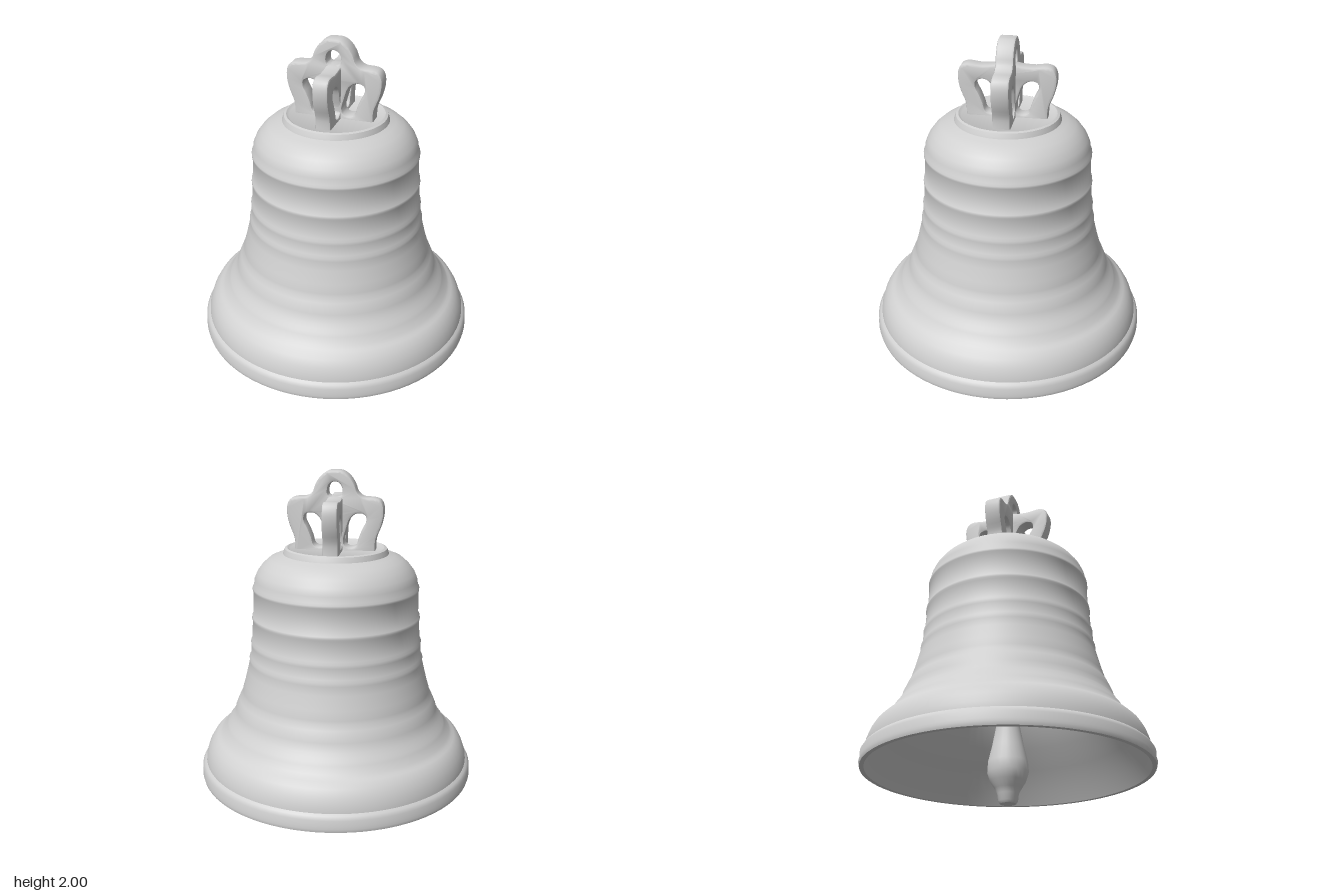
import * as THREE from 'three';
import { toCreasedNormals } from 'three/addons/utils/BufferGeometryUtils.js';

const vecs = (pts) => pts.map(([x, y]) => new THREE.Vector2(x, y));
const mirror = (pts) => pts.map(([x, y]) => [-x, y]).reverse();

export function createModel() {
  const group = new THREE.Group();
  const metal = new THREE.MeshStandardMaterial({ color: 0xd0d0d0 });
  metal.name = 'pale grey metal';

  const add = (name, geometry, crease) => {
    const mesh = new THREE.Mesh(toCreasedNormals(geometry, crease), metal);
    mesh.name = name;
    group.add(mesh);
    return mesh;
  };

  // Bell wall: inside from the crown down, around the lip, then up the outside
  const inner = [
    [0, 1.47], [0.2, 1.46], [0.34, 1.42], [0.41, 1.34], [0.43, 1.15], [0.44, 1],
    [0.47, 0.82], [0.52, 0.66], [0.6, 0.5], [0.68, 0.38], [0.75, 0.26], [0.79, 0.18],
  ];
  const outer = [
    [0.815, 0.18], [0.82, 0.2], [0.815, 0.215], [0.817, 0.25], [0.805, 0.27], [0.793, 0.28],
    [0.79, 0.31], [0.773, 0.36], [0.75, 0.4], [0.72, 0.43], [0.705, 0.437], [0.69, 0.455],
    [0.66, 0.49], [0.652, 0.51], [0.635, 0.525], [0.625, 0.55], [0.612, 0.565], [0.605, 0.6],
    [0.58, 0.66], [0.562, 0.69], [0.56, 0.71], [0.545, 0.76], [0.525, 0.84], [0.513, 0.89],
    [0.515, 0.91], [0.505, 0.925], [0.502, 0.99], [0.503, 1.01], [0.494, 1.025],
    [0.489, 1.14], [0.493, 1.15], [0.491, 1.165], [0.483, 1.175], [0.479, 1.31],
    [0.484, 1.32], [0.484, 1.333], [0.476, 1.345], [0.472, 1.38], [0.455, 1.42],
    [0.425, 1.46], [0.385, 1.495], [0.34, 1.513], [0.305, 1.525], [0.302, 1.535],
    [0.294, 1.555], [0.28, 1.56], [0.265, 1.55], [0, 1.55],
  ];
  add('bellBody', new THREE.LatheGeometry(vecs([...inner, ...outer]), 80), 0.75);

  // Clapper hanging through the mouth
  const clapper = [
    [0, 0], [0.045, 0.005], [0.055, 0.02], [0.06, 0.06], [0.075, 0.09], [0.1, 0.13],
    [0.116, 0.18], [0.112, 0.24], [0.09, 0.33], [0.067, 0.45], [0.055, 0.6], [0.05, 1.0], [0.05, 1.48],
  ];
  add('clapper', new THREE.LatheGeometry(vecs(clapper), 24), 0.7);

  // Crown plates: a mirrored outline pierced by two leaf-shaped openings
  const legOutline = [
    [0.23, 1.53], [0.23, 1.58], [0.235, 1.62], [0.262, 1.69], [0.275, 1.75],
    [0.273, 1.8], [0.255, 1.833], [0.22, 1.845],
  ];
  const leaf = [
    [0.05, 1.59], [0.065, 1.67], [0.09, 1.735], [0.13, 1.76], [0.17, 1.75],
    [0.178, 1.72], [0.155, 1.67], [0.135, 1.62], [0.12, 1.575], [0.08, 1.565],
  ];
  const smooth = (Type, pts, closed) => {
    const curve = new THREE.CatmullRomCurve3(pts.map(([x, y]) => new THREE.Vector3(x, y, 0)), closed);
    const out = curve.getPoints(pts.length * 3).map((p) => new THREE.Vector2(p.x, p.y));
    if (closed) out.pop();
    return new Type(out);
  };
  const crownPlate = (name, top, holes, width) => {
    const half = [...legOutline, ...top];
    const centre = [[0, top[top.length - 1][1] + 0.003]];
    const shape = smooth(THREE.Shape, [...half, ...centre, ...mirror(half)], false);
    shape.holes = holes.map((h) => smooth(THREE.Path, h, true));
    const bevel = 0.013;
    const geometry = new THREE.ExtrudeGeometry(shape, {
      depth: width - 2 * bevel, bevelEnabled: true, bevelSize: bevel,
      bevelThickness: bevel, bevelOffset: -bevel, bevelSegments: 2,
    });
    geometry.translate(0, 0, bevel - width / 2);
    return add(name, geometry, 0.7);
  };
  const leaves = [leaf, mirror(leaf)];
  const eye = [[0.038, 1.86], [0.04, 1.9], [0.026, 1.925], [0, 1.935], [-0.026, 1.925], [-0.04, 1.9], [-0.038, 1.86], [0, 1.85]];
  const arch = [[0.16, 1.85], [0.128, 1.875], [0.11, 1.92], [0.08, 1.965], [0.04, 1.992]];
  const flatTop = [[0.15, 1.838], [0.08, 1.842], [0.04, 1.85]];
  crownPlate('crownArch', arch, [...leaves, eye], 0.1);
  crownPlate('crownCrossArms', flatTop, leaves, 0.088).rotation.y = Math.PI / 2;

  return group;
}
